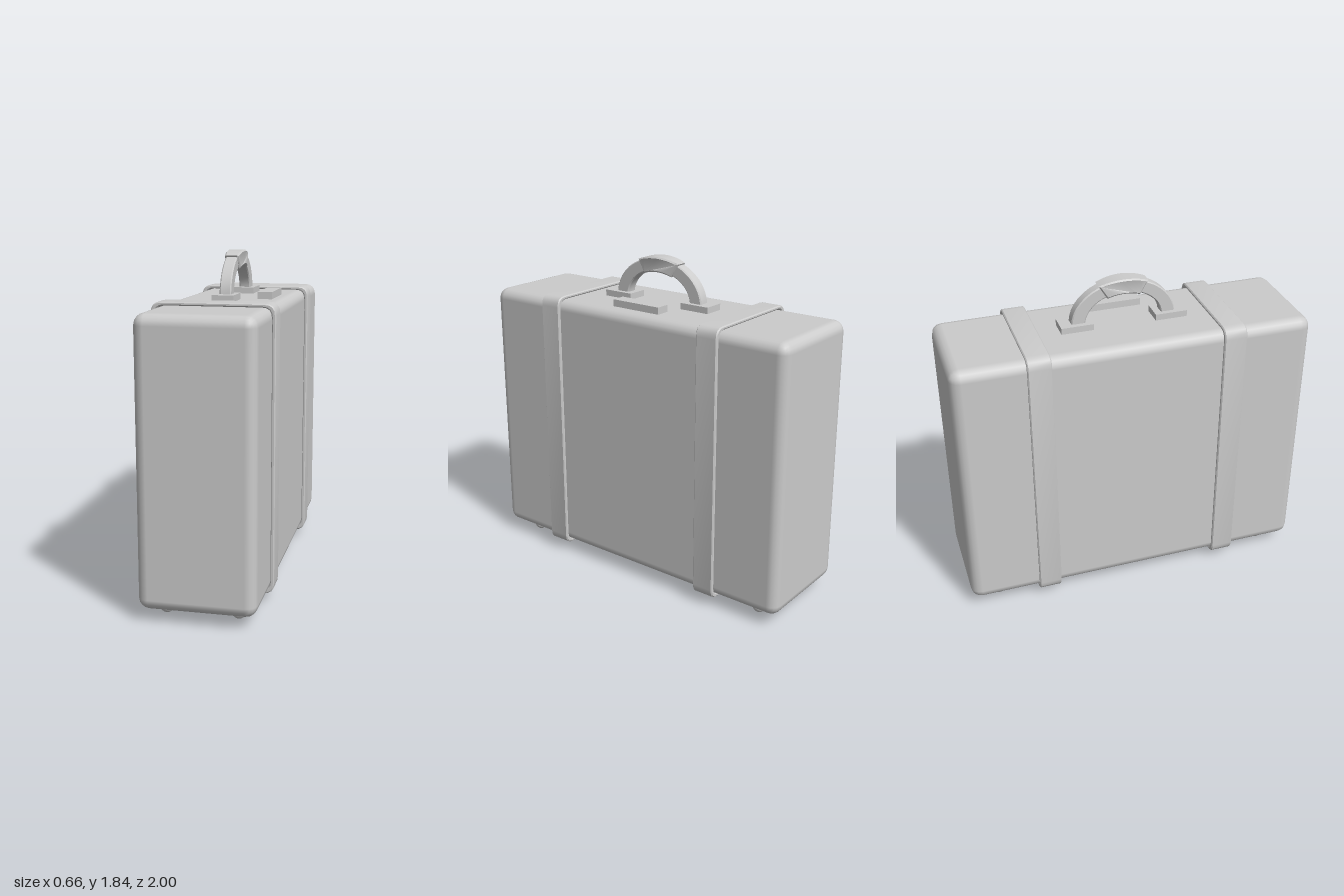
import * as THREE from 'three';
import { toCreasedNormals } from 'three/addons/utils/BufferGeometryUtils.js';
import { RoundedBoxGeometry } from 'three/addons/geometries/RoundedBoxGeometry.js';

const material = new THREE.MeshStandardMaterial({ color: 0xcccccc });

function add(parent, name, geometry, x = 0, y = 0, z = 0) {
  const mesh = new THREE.Mesh(geometry, material);
  mesh.name = name;
  mesh.position.set(x, y, z);
  parent.add(mesh);
  return mesh;
}

// Rectangle with rounded corners, centred on the origin
function roundedRect(path, w, h, r) {
  const x = w / 2, y = h / 2;
  path.moveTo(-x + r, -y).lineTo(x - r, -y).quadraticCurveTo(x, -y, x, -y + r);
  path.lineTo(x, y - r).quadraticCurveTo(x, y, x - r, y);
  path.lineTo(-x + r, y).quadraticCurveTo(-x, y, -x, y - r);
  path.lineTo(-x, -y + r).quadraticCurveTo(-x, -y, -x + r, -y);
  return path;
}

// Centred extrusion with a small edge bevel; width includes the bevel
function extrude(shape, width, bevel, curveSegments = 4) {
  const depth = width - 2 * bevel;
  const geometry = new THREE.ExtrudeGeometry(shape, {
    depth, curveSegments, bevelEnabled: true, bevelSize: bevel,
    bevelThickness: bevel, bevelOffset: -bevel, bevelSegments: 1,
  });
  return geometry.translate(0, 0, -depth / 2);
}

// Section of an elliptical arch, spanning from angle a to PI - a
function archShape(outer, inner, a, steps = 20) {
  const points = [];
  for (const [[rx, ry], reverse] of [[outer, false], [inner, true]]) {
    for (let i = 0; i <= steps; i++) {
      const t = a + (Math.PI - 2 * a) * (reverse ? 1 - i / steps : i / steps);
      points.push(new THREE.Vector2(rx * Math.cos(t), ry * Math.sin(t)));
    }
  }
  return new THREE.Shape(points);
}

export function createModel() {
  const model = new THREE.Group();
  model.name = 'suitcase';

  // Case body
  add(model, 'caseBody', new RoundedBoxGeometry(0.62, 1.515, 2, 2, 0.06), 0, 0.8225, 0);

  // Two straps wrapped around the case
  const band = roundedRect(new THREE.Shape(), 0.66, 1.55, 0.06);
  band.holes.push(roundedRect(new THREE.Path(), 0.615, 1.51, 0.05));
  const strap = toCreasedNormals(extrude(band, 0.13, 0.006), 0.6);
  for (const side of [1, -1]) {
    add(model, side > 0 ? 'frontStrap' : 'backStrap', strap, 0, 0.825, side * 0.54);
  }

  // Carrying handle: arch, thicker barrel-shaped grip, and mounting plates
  const handle = new THREE.Group();
  handle.name = 'handle';
  handle.position.set(-0.006, 1.6, 0);
  model.add(handle);

  const arch = extrude(archShape([0.293, 0.232], [0.215, 0.163], 0), 0.064, 0.006);
  add(handle, 'handleArch', toCreasedNormals(arch.rotateY(Math.PI / 2), 0.6));

  const grip = extrude(archShape([0.305, 0.241], [0.203, 0.157], 1.1), 0.096, 0.008);
  const p = grip.attributes.position;
  for (let i = 0; i < p.count; i++) {
    p.setZ(i, p.getZ(i) * (1 - 0.25 * (p.getX(i) / 0.14) ** 2));
  }
  add(handle, 'handleGrip', toCreasedNormals(grip.rotateY(Math.PI / 2), 0.6));

  const plate = new THREE.BoxGeometry(0.12, 0.05, 0.18);
  for (const side of [1, -1]) add(handle, 'handlePlate', plate, 0, -0.01, side * 0.265);

  // Latch plate beside the handle
  add(model, 'latchPlate', new THREE.BoxGeometry(0.08, 0.05, 0.31), 0.185, 1.594, 0);

  // Four ball feet with short stems
  const ball = new THREE.SphereGeometry(0.038, 20, 14);
  const stem = new THREE.CylinderGeometry(0.032, 0.032, 0.05, 20);
  for (const x of [-0.195, 0.19]) {
    for (const z of [-0.83, 0.83]) {
      const foot = new THREE.Group();
      foot.name = 'foot';
      foot.position.set(x, 0.038, z);
      add(foot, 'footBall', ball);
      add(foot, 'footStem', stem, 0, 0.03, 0);
      model.add(foot);
    }
  }
  return model;
}
